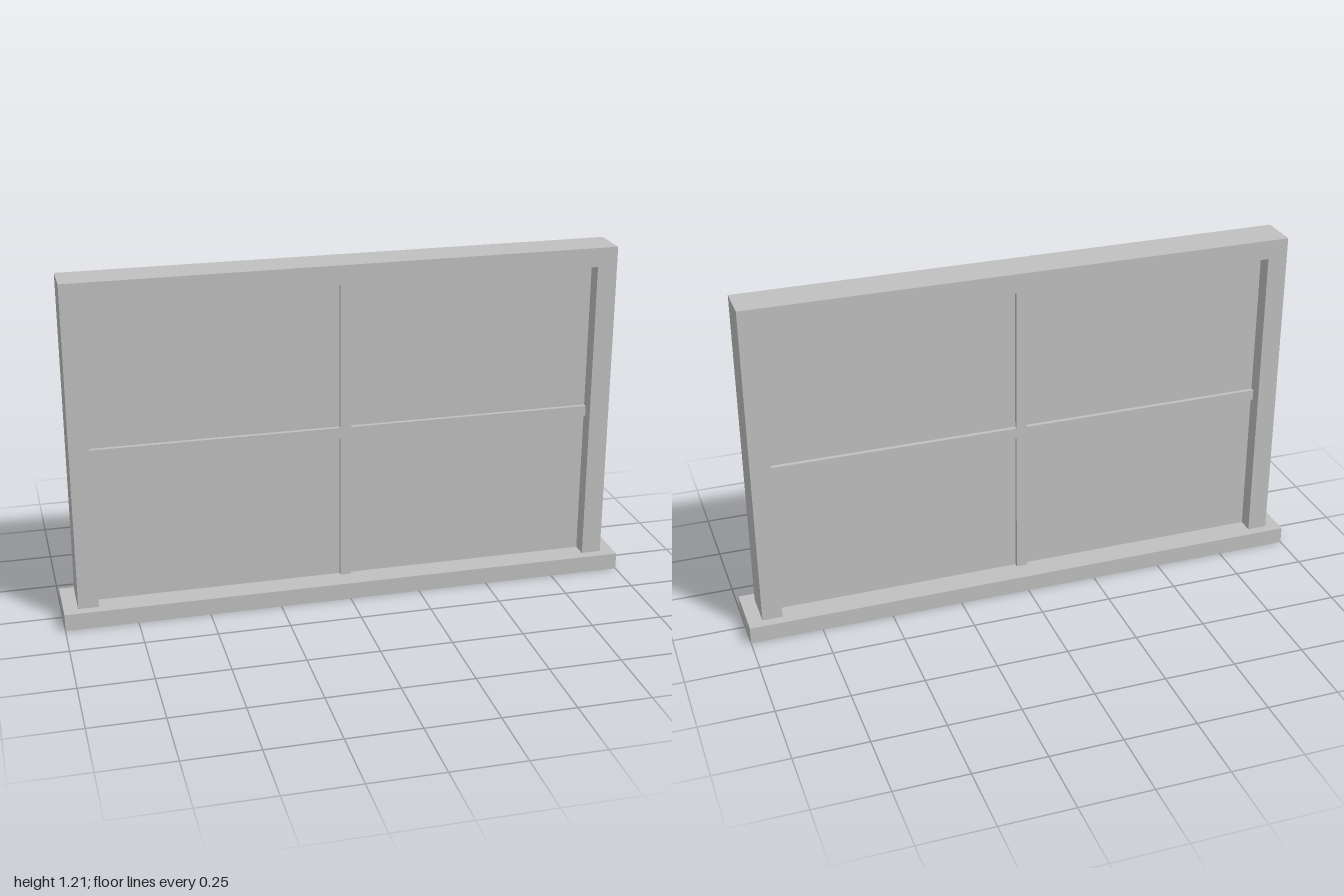
import * as THREE from 'three';

export function createModel() {
  const group = new THREE.Group();
  const grey = new THREE.MeshStandardMaterial({ color: 0xc0c0c0 });
  grey.name = 'light grey';

  const sillTop = 0.06, top = 1.207, headBottom = 1.14;
  const outer = 0.95, inner = 0.88, frameDepth = 0.138;
  const barHalf = 0.019, barY = 0.6, barDepth = 0.058, paneDepth = 0.028;

  // Extrudes an outline, centred on z = 0
  const slab = (name, shape, depth) => {
    const geometry = new THREE.ExtrudeGeometry(shape, { depth, bevelEnabled: false });
    geometry.translate(0, 0, -depth / 2);
    const mesh = new THREE.Mesh(geometry, grey);
    mesh.name = name;
    group.add(mesh);
  };
  const outline = (points) => new THREE.Shape(points.map(([x, y]) => new THREE.Vector2(x, y)));
  const rect = (x, y0, y1) => outline([[-x, y0], [x, y0], [x, y1], [-x, y1]]);

  // Wide sill the frame stands on
  slab('sill', rect(1, 0, sillTop), 0.208);

  // Jambs and head as one upside-down U
  slab('frame', outline([
    [-outer, sillTop], [-inner, sillTop], [-inner, headBottom], [inner, headBottom],
    [inner, sillTop], [outer, sillTop], [outer, top], [-outer, top],
  ]), frameDepth);

  // Thin pane filling the opening
  slab('pane', rect(inner, sillTop, headBottom), paneDepth);

  // Cross of glazing bars, proud of the pane on both sides
  const b = barHalf, lo = barY - b, hi = barY + b;
  slab('glazingBars', outline([
    [-b, sillTop], [b, sillTop], [b, lo], [inner, lo], [inner, hi], [b, hi],
    [b, headBottom], [-b, headBottom], [-b, hi], [-inner, hi], [-inner, lo], [-b, lo],
  ]), barDepth);

  return group;
}
